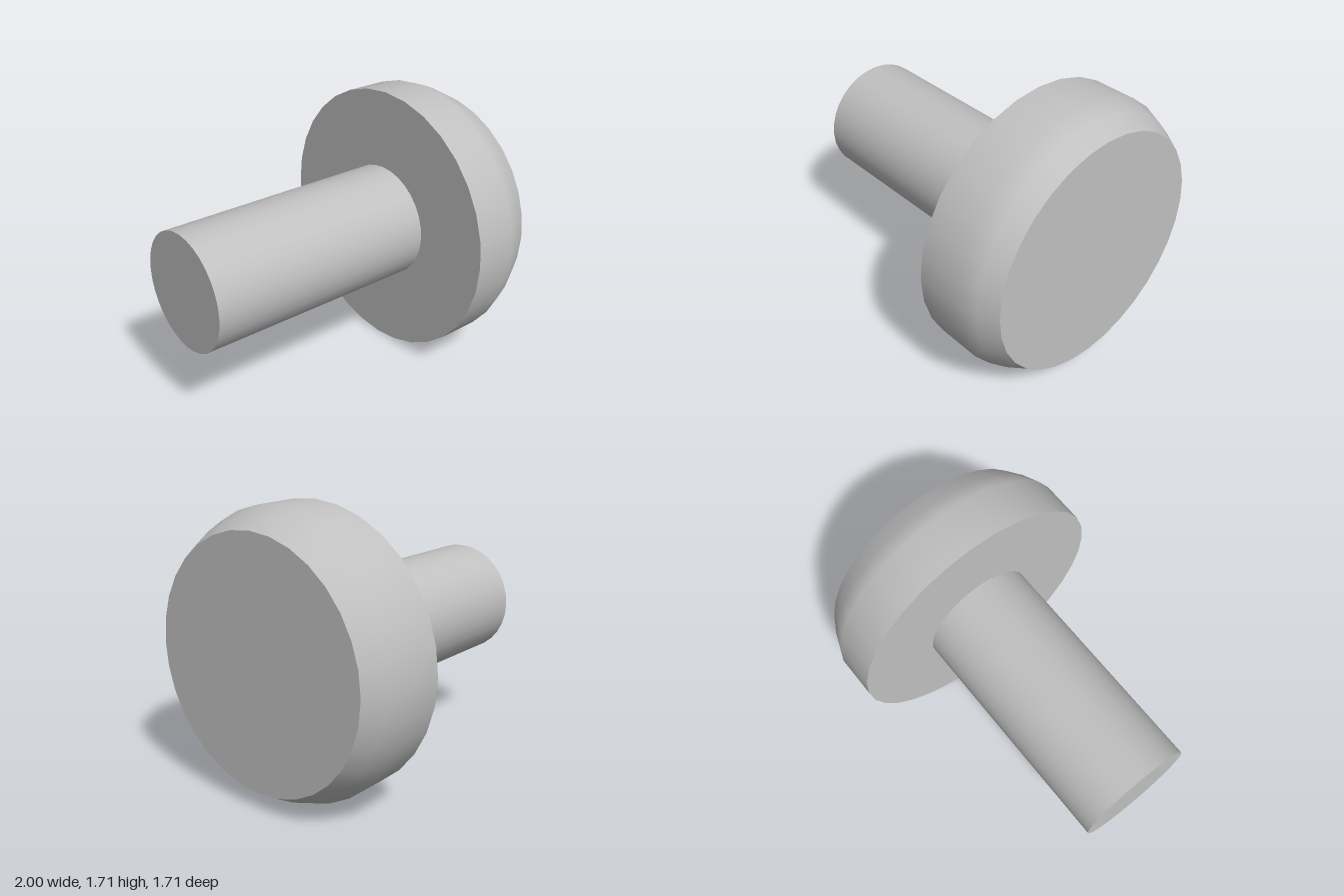
import * as THREE from 'three';

const SEGMENTS = 32;
const HEAD_RADIUS = 0.857;
const SHAFT_RADIUS = 0.365;
const HEAD_START = 0.5;
const DOME_RADIUS = 0.9; // dome is a slice of a sphere centred on the head's inner face

export function createModel() {
  const group = new THREE.Group();
  const metal = new THREE.MeshStandardMaterial({ color: 0xc0c0c0 });
  metal.name = 'grey metal';

  const add = (name, geometry, x) => {
    const mesh = new THREE.Mesh(geometry, metal);
    mesh.name = name;
    mesh.position.set(x, HEAD_RADIUS, 0);
    group.add(mesh);
  };

  // Shaft along x
  const shaftLength = HEAD_START + 1;
  const shaft = new THREE.CylinderGeometry(SHAFT_RADIUS, SHAFT_RADIUS, shaftLength, SEGMENTS);
  add('shaft', shaft.rotateZ(-Math.PI / 2), -1 + shaftLength / 2);

  // Head rim: short cylinder running into the shallow dome
  const profile = [new THREE.Vector2(HEAD_RADIUS, 0)];
  for (const x of [0.275, 0.388, 0.5]) {
    profile.push(new THREE.Vector2(Math.sqrt(DOME_RADIUS ** 2 - x ** 2), x));
  }
  add('headRim', new THREE.LatheGeometry(profile, SEGMENTS).rotateZ(-Math.PI / 2), HEAD_START);

  // Flat faces closing the head
  const faceRadius = profile[profile.length - 1].x;
  add('headOuterFace', new THREE.CircleGeometry(faceRadius, SEGMENTS).rotateY(Math.PI / 2), 1);
  const innerFace = new THREE.RingGeometry(SHAFT_RADIUS, HEAD_RADIUS, SEGMENTS);
  add('headInnerFace', innerFace.rotateY(-Math.PI / 2), HEAD_START);

  return group;
}
